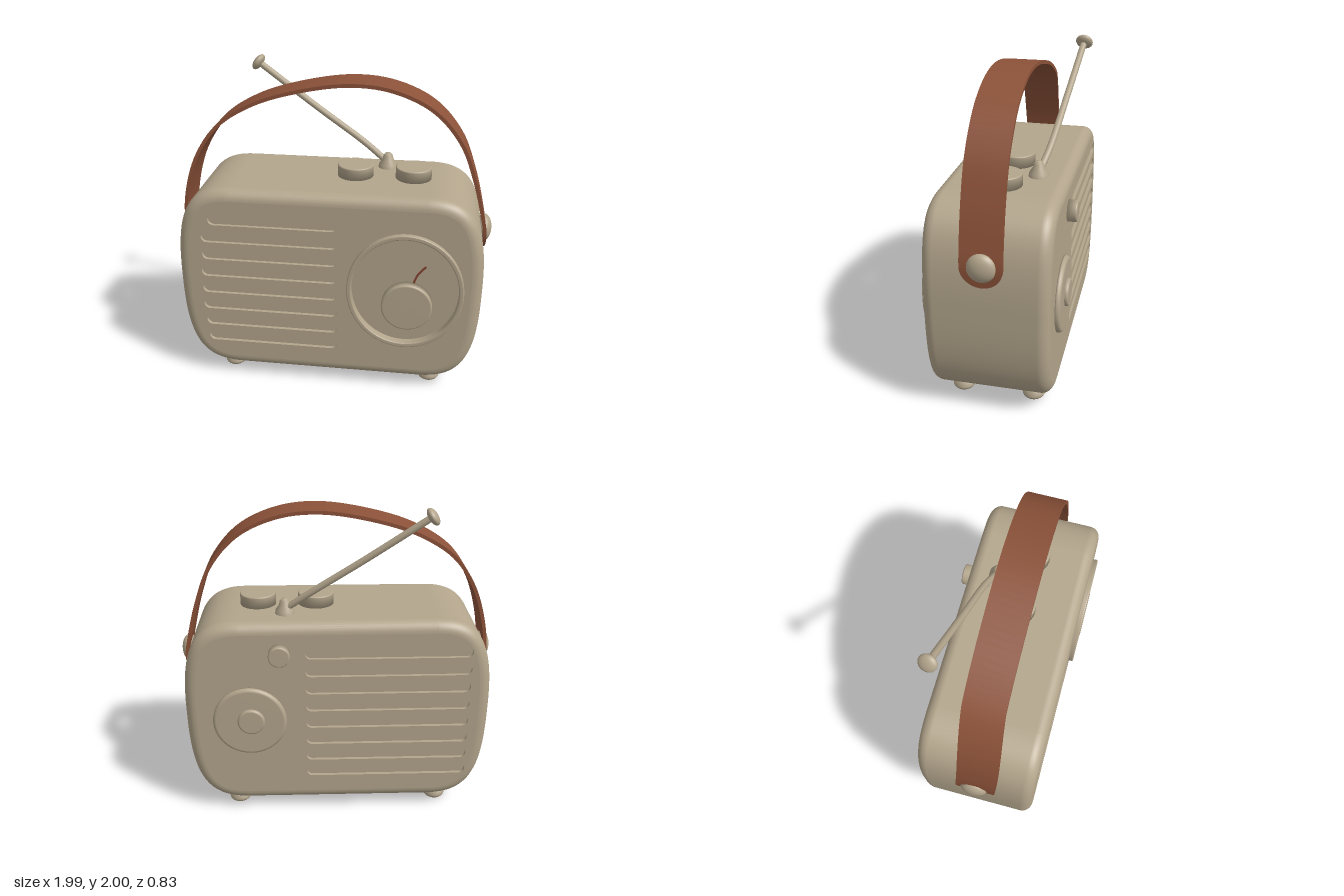
import * as THREE from 'three';

const cream = new THREE.MeshStandardMaterial({ color: 0xb3a58c });
cream.name = 'cream shell';
const leather = new THREE.MeshStandardMaterial({ color: 0x8c5239 });
leather.name = 'brown leather';
const needleRed = new THREE.MeshStandardMaterial({ color: 0x8a4632 });
needleRed.name = 'needle red';

const FRONT = 0.375, BACK = -0.36, ROUND = 0.07, RECESS = 0.022;

function add(group, name, geometry, material, x = 0, y = 0, z = 0) {
  const mesh = new THREE.Mesh(geometry, material);
  mesh.name = name;
  mesh.position.set(x, y, z);
  group.add(mesh);
  return mesh;
}

// Soft rounded front outline of the case, counter-clockwise
function caseOutline() {
  const s = new THREE.Shape();
  s.moveTo(0.58, 0.075);
  s.bezierCurveTo(0.87, 0.075, 0.95, 0.25, 0.95, 0.7);
  s.bezierCurveTo(0.96, 1.16, 0.87, 1.325, 0.6, 1.325);
  s.lineTo(-0.6, 1.325);
  s.bezierCurveTo(-0.87, 1.325, -0.96, 1.16, -0.95, 0.7);
  s.bezierCurveTo(-0.95, 0.25, -0.87, 0.075, -0.58, 0.075);
  const pts = s.getPoints(28);
  if (pts[0].distanceTo(pts[pts.length - 1]) < 1e-4) pts.pop();
  return pts;
}

function inset(pts, d) {
  const n = pts.length;
  return pts.map((p, i) => {
    const t = pts[(i + 1) % n].clone().sub(pts[(i + n - 1) % n]).normalize();
    return new THREE.Vector2(p.x - t.y * d, p.y + t.x * d);
  });
}

// Wall of the case with rounded front and back edges
function shellGeometry(outline) {
  const rings = [], steps = 8;
  for (let k = 0; k <= steps; k++) {
    const a = (k / steps) * Math.PI / 2;
    rings.push([ROUND * (1 - Math.sin(a)), BACK + ROUND * (1 - Math.cos(a))]);
  }
  for (let k = steps; k >= 0; k--) {
    const a = (k / steps) * Math.PI / 2;
    rings.push([ROUND * (1 - Math.sin(a)), FRONT - ROUND * (1 - Math.cos(a))]);
  }
  const pos = [], index = [], n = outline.length;
  rings.forEach(([d, z], k) => {
    inset(outline, d).forEach(p => pos.push(p.x, p.y, z));
    if (k === 0) return;
    for (let i = 0; i < n; i++) {
      const j = (i + 1) % n, lo = (k - 1) * n, hi = k * n;
      index.push(lo + i, lo + j, hi + j, lo + i, hi + j, hi + i);
    }
  });
  const g = new THREE.BufferGeometry();
  g.setAttribute('position', new THREE.Float32BufferAttribute(pos, 3));
  g.setIndex(index);
  g.computeVertexNormals();
  return g;
}

function slotPath(x0, x1, y, h) {
  const p = new THREE.Path(), r = h / 2;
  p.absarc(x0 + r, y, r, Math.PI / 2, Math.PI * 1.5, false);
  p.absarc(x1 - r, y, r, -Math.PI / 2, Math.PI / 2, false);
  p.closePath();
  return p;
}

function ellipsePath(Type, rx, ry) {
  const p = new Type();
  p.absellipse(0.48, 0.72, rx, ry, 0, Math.PI * 2);
  return p;
}

// Turned part along +y with a rounded upper edge
function turned(r, h, edge, baseR = r) {
  const pts = [new THREE.Vector2(0, 0), new THREE.Vector2(baseR, 0)];
  for (let i = 0; i <= 5; i++) {
    const a = (i / 5) * Math.PI / 2;
    pts.push(new THREE.Vector2(r - edge + edge * Math.cos(a), h - edge + edge * Math.sin(a)));
  }
  pts.push(new THREE.Vector2(0, h));
  return new THREE.LatheGeometry(pts, 40);
}

// Flat strap bent along a curve, with half-round ends
function strapGeometry() {
  const path = new THREE.CatmullRomCurve3([
    [-0.94, 0.9], [-0.95, 1.02], [-0.93, 1.2], [-0.85, 1.45], [-0.71, 1.65], [-0.5, 1.785], [-0.25, 1.87],
    [0.1, 1.927], [0.36, 1.9], [0.6, 1.79], [0.77, 1.6], [0.865, 1.37], [0.925, 1.15], [0.95, 1.02], [0.945, 0.9],
  ].map(([x, y]) => new THREE.Vector3(x, y, 0)));
  path.arcLengthDivisions = 600;
  const length = path.getLength(), g = new THREE.BoxGeometry(1, 0.022, 2, 110, 1, 1);
  const p = g.attributes.position;
  for (let i = 0; i < p.count; i++) {
    const u = (1 - Math.cos((p.getX(i) + 0.5) * Math.PI)) / 2;
    const c = path.getPointAt(u), t = path.getTangentAt(u);
    const s = Math.min(u, 1 - u) * length, r = 0.122;
    const half = s < r ? Math.sqrt(Math.max(0, r * r - (r - s) ** 2)) : r;
    const shift = 0.015 + 0.022 * Math.sin(Math.min(1, s / 0.9) * Math.PI) * (u < 0.5 ? 1 : 0.2);
    const o = p.getY(i);
    p.setXYZ(i, c.x - t.y * o, c.y + t.x * o, p.getZ(i) * half + shift);
  }
  g.computeVertexNormals();
  return g;
}

export function createModel() {
  const model = new THREE.Group();
  model.name = 'portableRadio';

  // Case: wall, slotted front and back panels, recessed floors
  const outline = caseOutline(), face = inset(outline, ROUND);
  add(model, 'caseShell', shellGeometry(outline), cream);
  const frontPanel = new THREE.Shape(face), backPanel = new THREE.Shape(face);
  const starts = [-0.74, -0.79, -0.79, -0.8, -0.8, -0.8, -0.79, -0.78];
  starts.forEach((x0, i) => {
    const y = 1.13 - i * 0.119;
    frontPanel.holes.push(slotPath(x0, 0.06, y, 0.072));
    backPanel.holes.push(slotPath(-0.82, 0.2, y, 0.072));
  });
  frontPanel.holes.push(ellipsePath(THREE.Path, 0.335, 0.365));
  const panel = { depth: RECESS, bevelEnabled: false, curveSegments: 32 };
  add(model, 'frontPanel', new THREE.ExtrudeGeometry(frontPanel, panel), cream, 0, 0, FRONT - RECESS);
  add(model, 'backPanel', new THREE.ExtrudeGeometry(backPanel, panel), cream, 0, 0, BACK);
  const floor = new THREE.ShapeGeometry(new THREE.Shape(face));
  add(model, 'frontRecessFloor', floor, cream, 0, 0, FRONT - RECESS);
  add(model, 'backRecessFloor', floor, cream, 0, 0, BACK + RECESS).rotation.y = Math.PI;

  // Tuning dial
  const rim = ellipsePath(THREE.Shape, 0.352, 0.382);
  rim.holes.push(ellipsePath(THREE.Path, 0.338, 0.368));
  add(model, 'dialRim', new THREE.ExtrudeGeometry(rim, {
    depth: 0.042, bevelThickness: 0.008, bevelSize: 0.008, bevelSegments: 3, curveSegments: 48,
  }), cream, 0, 0, 0.355);
  add(model, 'dialKnob', turned(0.158, 0.055, 0.012), cream, 0.495, 0.62, 0.353).rotation.x = Math.PI / 2;
  const needlePath = new THREE.CatmullRomCurve3([
    new THREE.Vector3(0.53, 0.765, 0), new THREE.Vector3(0.555, 0.83, 0), new THREE.Vector3(0.603, 0.89, 0),
  ]);
  add(model, 'dialNeedle', new THREE.TubeGeometry(needlePath, 12, 0.007, 6), needleRed, 0, 0, 0.354);

  // Back disc, hub and small knob
  for (const [name, r, h, edge, x, y] of [
    ['backDisc', 0.23, 0.03, 0.022, 0.55, 0.68],
    ['backDiscHub', 0.085, 0.052, 0.015, 0.54, 0.69],
    ['backKnob', 0.066, 0.06, 0.01, 0.355, 1.135],
  ]) add(model, name, turned(r, h, edge), cream, x, y, BACK).rotation.x = -Math.PI / 2;

  // Top knobs
  for (const x of [0.13, 0.493]) add(model, 'topKnob', turned(0.112, 0.08, 0.008), cream, x, 1.32, 0.0);

  // Feet
  for (const x of [-0.655, 0.655]) for (const z of [-0.22, 0.225]) {
    add(model, 'foot', turned(0.07, 0.09, 0.03, 0.06), cream, x, 0.09, z).rotation.x = Math.PI;
  }

  // Antenna: socket, rod and tip
  const socket = [[0.062, 0], [0.056, 0.03], [0.036, 0.06], [0.03, 0.085], [0.018, 0.1], [0, 0.103]];
  add(model, 'antennaSocket', new THREE.LatheGeometry(socket.map(p => new THREE.Vector2(...p)), 24), cream, 0.32, 1.318, -0.172);
  const rodPath = new THREE.CatmullRomCurve3([
    new THREE.Vector3(0.31, 1.36, -0.18), new THREE.Vector3(0.17, 1.465, -0.215),
    new THREE.Vector3(-0.15, 1.68, -0.255), new THREE.Vector3(-0.53, 1.945, -0.302),
  ]);
  const rodGeo = new THREE.TubeGeometry(rodPath, 30, 0.021, 12);
  add(model, 'antennaRod', rodGeo, cream);
  const tip = add(model, 'antennaTip', new THREE.SphereGeometry(0.056, 24, 16), cream, -0.538, 1.95, -0.303);
  tip.scale.y = 0.5;
  tip.quaternion.setFromUnitVectors(new THREE.Vector3(0, 1, 0), rodPath.getTangent(1));

  // Carrying strap and its rivets
  add(model, 'carryStrap', strapGeometry(), leather);
  for (const side of [-1, 1]) {
    const rivet = add(model, 'strapRivet', new THREE.SphereGeometry(0.086, 32, 20), cream, side * 0.948, 1.02, 0.015);
    rivet.scale.x = 0.56;
  }
  return model;
}
